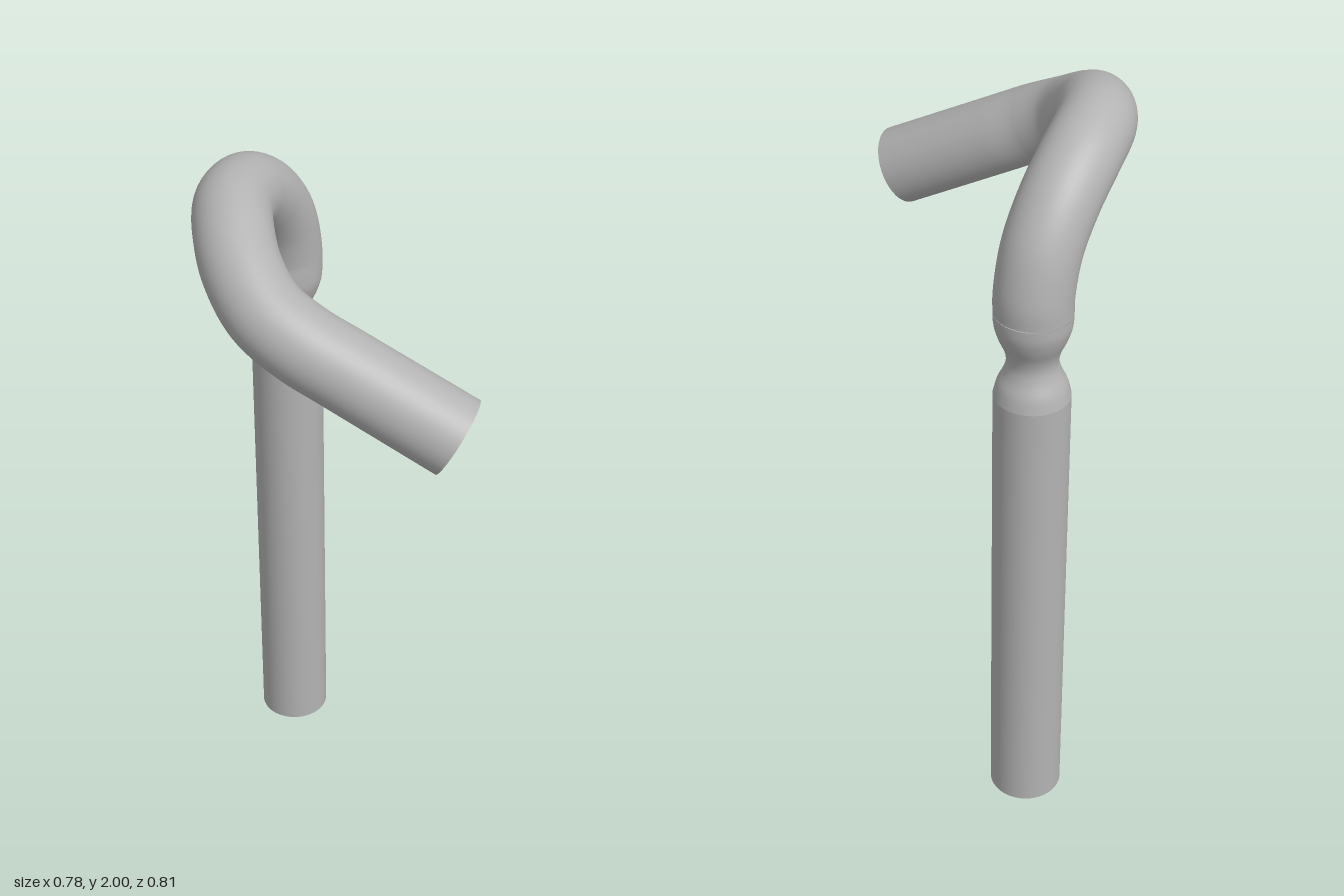
import * as THREE from 'three';

export function createModel() {
  const model = new THREE.Group();
  const grey = new THREE.MeshStandardMaterial({ color: 0xb3b3b3, side: THREE.DoubleSide });
  grey.name = 'pipe grey';

  const add = (geometry, name) => {
    const mesh = new THREE.Mesh(geometry, grey);
    mesh.name = name;
    model.add(mesh);
    return mesh;
  };

  // Upright pipe, open at the bottom
  const SIDES = 48;
  const pipe = add(new THREE.CylinderGeometry(0.097, 0.097, 1.32, SIDES, 1, true), 'uprightPipe');
  pipe.position.set(-0.255, 0.66, -0.305);

  // Pinched neck between the upright and the hook
  const profile = new THREE.SplineCurve([
    [0.097, 1.32], [0.088, 1.355], [0.072, 1.39], [0.065, 1.42],
    [0.07, 1.452], [0.086, 1.49], [0.096, 1.525], [0.098, 1.56],
  ].map(([r, y]) => new THREE.Vector2(r, y)));
  const neck = add(new THREE.LatheGeometry(profile.getPoints(36), SIDES), 'neck');
  neck.position.set(-0.255, 0, -0.305);

  // Hook that arches forward and turns sideways into a straight spout
  const path = new THREE.CatmullRomCurve3([
    [-0.255, 1.56, -0.305], [-0.255, 1.61, -0.304], [-0.262, 1.72, -0.272],
    [-0.278, 1.815, -0.2], [-0.292, 1.879, -0.1], [-0.289, 1.9, 0.015],
    [-0.262, 1.885, 0.105], [-0.212, 1.837, 0.2], [-0.135, 1.775, 0.272],
    [-0.04, 1.722, 0.299], [0.06, 1.669, 0.3], [0.2, 1.595, 0.3], [0.344, 1.519, 0.3],
  ].map((p) => new THREE.Vector3(...p)));
  const RINGS = 120;
  const hook = new THREE.TubeGeometry(path, RINGS, 1, SIDES, false);

  // Widen the tube slightly from neck to spout
  const pos = hook.attributes.position;
  const v = new THREE.Vector3();
  for (let i = 0; i <= RINGS; i++) {
    const t = i / RINGS;
    const centre = path.getPointAt(t);
    const radius = t < 0.6 ? 0.098 + 0.003 * t : 0.0998 + 0.01 * (t - 0.6);
    for (let j = 0; j <= SIDES; j++) {
      const k = i * (SIDES + 1) + j;
      v.fromBufferAttribute(pos, k).sub(centre).multiplyScalar(radius).add(centre);
      pos.setXYZ(k, v.x, v.y, v.z);
    }
  }
  add(hook, 'hookAndSpout');

  return model;
}
